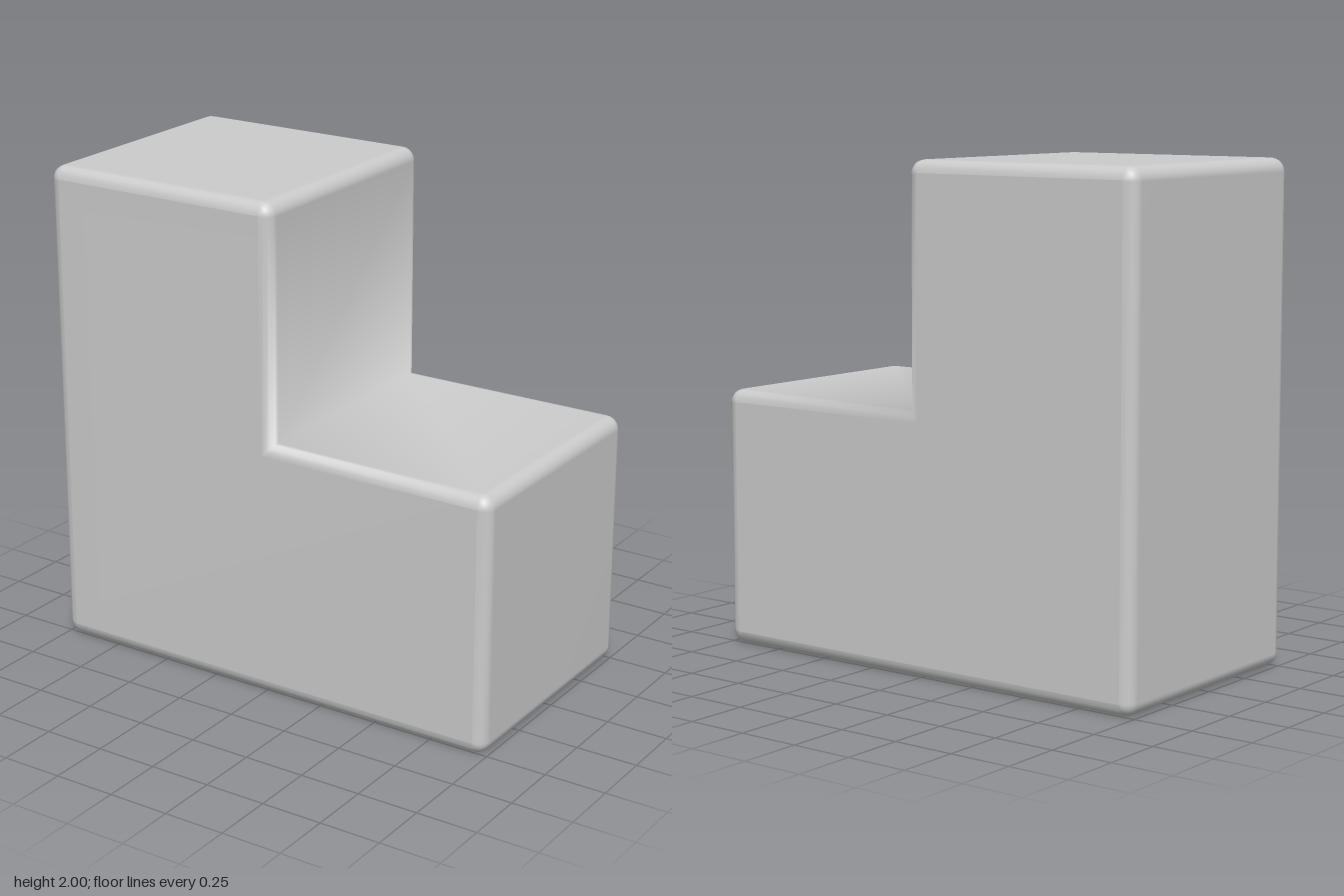
import * as THREE from 'three';
import { mergeVertices } from 'three/addons/utils/BufferGeometryUtils.js';

export function createModel() {
  const group = new THREE.Group();
  group.name = 'cornerBlock';

  const bevel = 0.05, radius = 0.055, depth = 1.05, step = 0.045;

  // L outline: convex corners rounded, inner corner left sharp
  const outline = new THREE.Shape();
  const corner = (x, y, startQuarter) => {
    const a = startQuarter * Math.PI / 2;
    outline.absarc(x, y, radius, a, a + Math.PI / 2, false);
  };
  corner(-1 + radius, radius, 2);
  corner(1 - radius, radius, 3);
  corner(1 - radius, 1.05 - radius, 0);
  outline.lineTo(step, 1.05);
  corner(step - radius, 2 - radius, 0);
  corner(-1 + radius, 2 - radius, 1);
  outline.closePath();

  let geometry = new THREE.ExtrudeGeometry(outline, {
    depth: depth - 2 * bevel,
    curveSegments: 4,
    bevelEnabled: true,
    bevelThickness: bevel,
    bevelSize: bevel,
    bevelOffset: -bevel,
    bevelSegments: 4,
  });
  geometry.translate(0, 0, bevel - depth / 2);

  // Weld so the shading runs smoothly over every edge
  geometry.deleteAttribute('normal');
  geometry.deleteAttribute('uv');
  geometry = mergeVertices(geometry, 1e-4);
  geometry.computeVertexNormals();

  const block = new THREE.Mesh(geometry, new THREE.MeshStandardMaterial({ color: 0xcccccc }));
  block.name = 'steppedBlock';
  group.add(block);
  return group;
}
